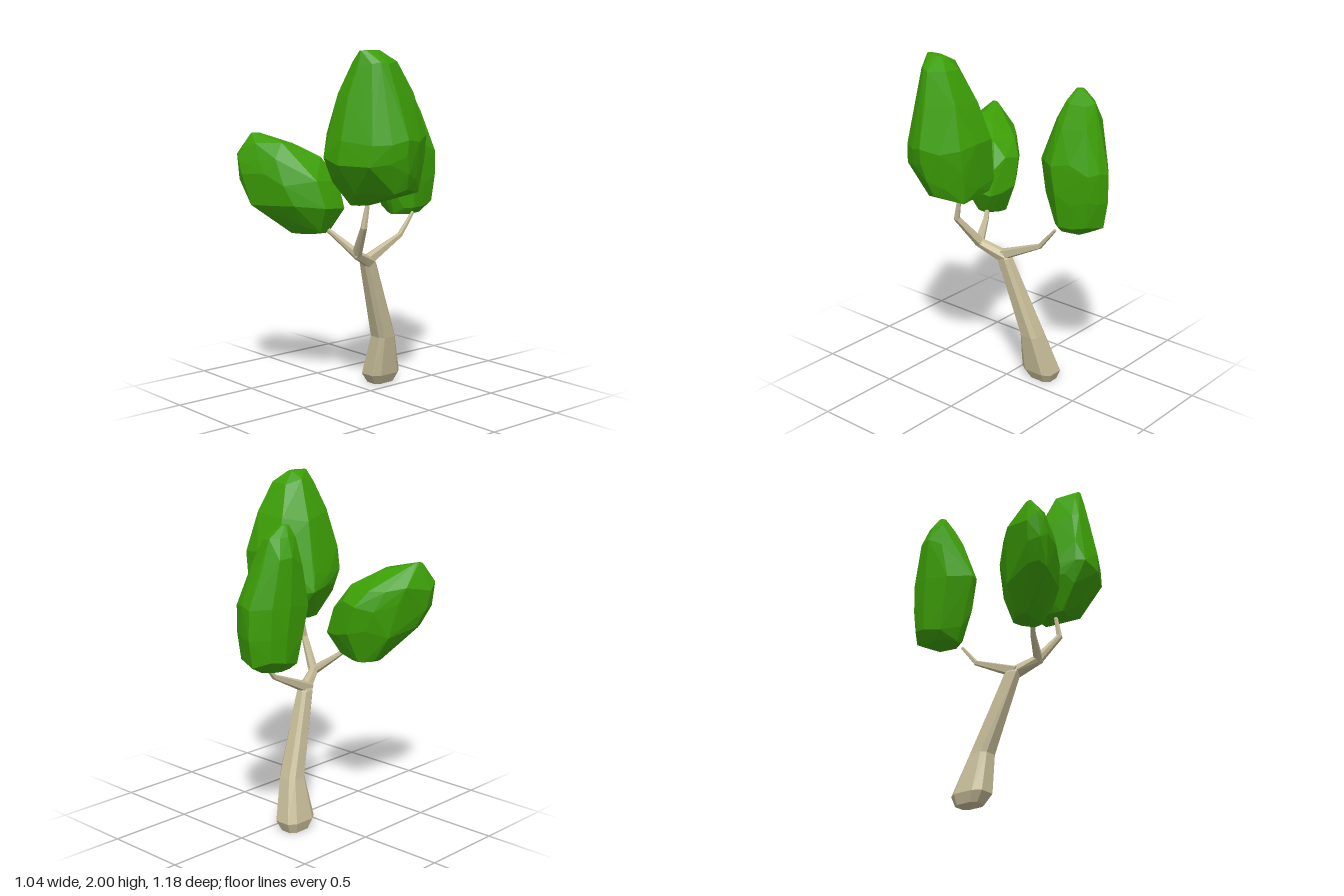
import * as THREE from 'three';
import { ConvexGeometry } from 'three/addons/geometries/ConvexGeometry.js';

const bark = new THREE.MeshStandardMaterial({ color: 0xc6bc98, flatShading: true });
const leaf = new THREE.MeshStandardMaterial({ color: 0x3c9e06, flatShading: true });
const UP = new THREE.Vector3(0, 1, 0);
const boxy = v => Math.sign(v) * Math.abs(v) ** 0.6;

// Tapered limb through stations [x, y, z, rx, rz] with squarish rings, level or following the path
function limb(name, stations, sides, level) {
  const centres = stations.map(s => new THREE.Vector3(s[0], s[1], s[2]));
  const last = stations.length - 1;
  const pos = [], index = [];
  stations.forEach(([, , , rx, rz = rx], i) => {
    const dir = centres[Math.min(i + 1, last)].clone().sub(centres[Math.max(i - 1, 0)]).normalize();
    const turn = new THREE.Quaternion().setFromUnitVectors(UP, level ? UP : dir);
    for (let j = 0; j < sides; j++) {
      const a = (j + 0.5) / sides * Math.PI * 2;
      const p = new THREE.Vector3(boxy(Math.cos(a)) * rx, 0, boxy(Math.sin(a)) * rz);
      p.applyQuaternion(turn).add(centres[i]);
      pos.push(p.x, p.y, p.z);
    }
  });
  const foot = pos.length / 3, tip = foot + 1;
  pos.push(...centres[0].toArray(), ...centres[last].toArray());
  for (let j = 0; j < sides; j++) {
    const k = (j + 1) % sides;
    for (let i = 0; i < last; i++) {
      const a = i * sides + j, b = i * sides + k;
      index.push(a, a + sides, b, b, a + sides, b + sides);
    }
    index.push(foot, j, k, tip, last * sides + k, last * sides + j);
  }
  const geo = new THREE.BufferGeometry();
  geo.setAttribute('position', new THREE.Float32BufferAttribute(pos, 3));
  geo.setIndex(index);
  geo.computeVertexNormals();
  const mesh = new THREE.Mesh(geo, bark);
  mesh.name = name;
  return mesh;
}

// Faceted leaf clump: a plan outline [x, z] fitted to level slices [y, x0, x1, z0, z1]
function clump(name, outline, slices, seed) {
  const rand = () => (seed = (seed * 16807) % 2147483647) / 2147483647;
  const xs = outline.map(p => p[0]), zs = outline.map(p => p[1]);
  const minX = Math.min(...xs), minZ = Math.min(...zs);
  const w = Math.max(...xs) - minX, d = Math.max(...zs) - minZ;
  const points = [];
  slices.forEach(([y, x0, x1, z0, z1], i) => {
    const end = i === 0 || i === slices.length - 1;
    for (const [px, pz] of outline) {
      const k = 1.02 - 0.05 * rand();
      const u = ((px - minX) / w - 0.5) * k + 0.5, v = ((pz - minZ) / d - 0.5) * k + 0.5;
      const dy = end ? 0 : (rand() - 0.5) * 0.07;
      points.push(new THREE.Vector3(x0 + u * (x1 - x0), y + dy, z0 + v * (z1 - z0)));
    }
  });
  const mesh = new THREE.Mesh(new ConvexGeometry(points), leaf);
  mesh.name = name;
  return mesh;
}

export function createModel() {
  const tree = new THREE.Group();
  tree.name = 'tree';

  // Leaning trunk with a bevelled foot
  tree.add(limb('trunk', [
    [-0.12, 0, -0.185, 0.058, 0.08],
    [-0.112, 0.06, -0.178, 0.082, 0.113],
    [-0.06, 0.3, -0.15, 0.065, 0.065],
    [-0.002, 0.77, 0.018, 0.038, 0.046],
    [0.005, 0.805, 0.035, 0.027, 0.032],
  ], 8, true));

  // Branches
  tree.add(limb('backBranch', [
    [0, 0.775, 0.05, 0.035], [-0.01, 0.905, -0.24, 0.015], [-0.012, 1.03, -0.345, 0.009],
  ], 6));
  tree.add(limb('rightFork', [
    [0, 0.77, 0.01, 0.035], [0.06, 0.845, 0.155, 0.026], [0.19, 1.02, 0.215, 0.017], [0.195, 1.2, 0.18, 0.009],
  ], 6));
  tree.add(limb('frontBranch', [
    [0.075, 0.835, 0.15, 0.026], [-0.06, 0.94, 0.21, 0.015], [-0.14, 1.01, 0.26, 0.01],
  ], 6));

  // Leaf clumps
  tree.add(clump('tallLeaves', [
    [0.15, -0.04], [0.3, -0.045], [0.42, -0.04], [0.48, 0.07], [0.52, 0.18], [0.48, 0.27],
    [0.42, 0.36], [0.25, 0.45], [0.12, 0.44], [0.075, 0.4], [0.04, 0.27], [0.015, 0.13],
  ], [
    [1.15, 0.13, 0.22, 0.14, 0.28],
    [1.25, 0.07, 0.46, -0.02, 0.33],
    [1.32, 0.015, 0.49, -0.04, 0.39],
    [1.42, 0.03, 0.51, -0.045, 0.46],
    [1.52, 0.045, 0.525, -0.045, 0.45],
    [1.75, 0.1, 0.46, 0.03, 0.39],
    [1.93, 0.2, 0.4, 0.12, 0.345],
    [2.0, 0.265, 0.32, 0.2, 0.32],
  ], 11));
  tree.add(clump('backLeaves', [
    [-0.17, -0.59], [-0.1, -0.57], [-0.03, -0.55], [-0.01, -0.43], [0.01, -0.32], [-0.03, -0.25],
    [-0.09, -0.175], [-0.14, -0.17], [-0.28, -0.25], [-0.3, -0.4], [-0.27, -0.51],
  ], [
    [1.01, -0.22, -0.06, -0.48, -0.28],
    [1.08, -0.28, -0.015, -0.56, -0.25],
    [1.22, -0.295, 0.005, -0.588, -0.21],
    [1.4, -0.3, 0.005, -0.59, -0.168],
    [1.62, -0.3, -0.065, -0.51, -0.24],
    [1.74, -0.26, -0.12, -0.46, -0.28],
    [1.81, -0.23, -0.19, -0.38, -0.33],
  ], 29));
  tree.add(clump('frontLeaves', [
    [-0.26, 0.125], [-0.15, 0.145], [-0.055, 0.16], [-0.04, 0.25], [-0.02, 0.34], [-0.16, 0.48],
    [-0.28, 0.53], [-0.45, 0.59], [-0.495, 0.565], [-0.52, 0.5], [-0.46, 0.3], [-0.36, 0.19],
  ], [
    [0.945, -0.31, -0.18, 0.21, 0.35],
    [0.985, -0.35, -0.09, 0.19, 0.42],
    [1.12, -0.46, -0.01, 0.125, 0.55],
    [1.27, -0.505, -0.055, 0.135, 0.595],
    [1.37, -0.525, -0.13, 0.2, 0.59],
    [1.44, -0.5, -0.26, 0.33, 0.56],
    [1.52, -0.47, -0.44, 0.45, 0.5],
  ], 47));

  return tree;
}
